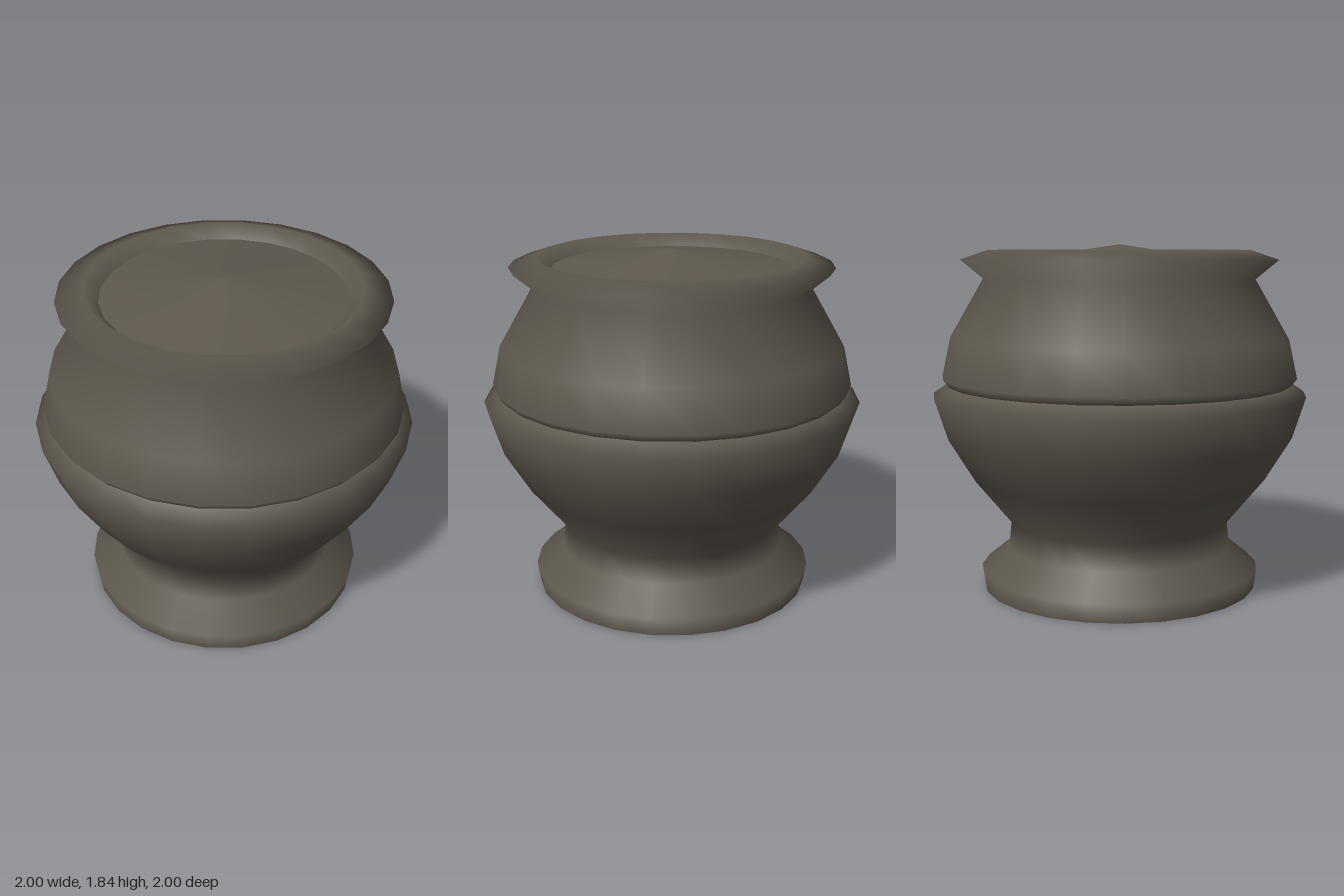
import * as THREE from 'three';

const SIDES = 24;

export function createModel() {
  const group = new THREE.Group();
  const clay = new THREE.MeshStandardMaterial({ color: 0x5e584e });
  clay.name = 'dark clay';

  // Each profile is a smooth run of [radius, height]; edges between runs stay sharp.
  const turn = (name, profile) => {
    const points = profile.map(([r, y]) => new THREE.Vector2(r, y));
    const mesh = new THREE.Mesh(new THREE.LatheGeometry(points, SIDES), clay);
    mesh.name = name;
    group.add(mesh);
  };

  turn('underside', [[0, 0], [0.74, 0]]);

  // Foot, narrow waist and flaring lower bowl
  turn('footAndLowerBowl', [
    [0.74, 0], [0.755, 0.1], [0.605, 0.22], [0.59, 0.355],
    [0.79, 0.6], [0.93, 0.83], [1, 1.05], [0.92, 1.105],
  ]);

  // Shoulder, neck and rolled rim
  turn('shoulderAndRim', [
    [0.92, 1.105], [0.95, 1.145], [0.905, 1.35], [0.725, 1.66],
    [0.845, 1.76], [0.7, 1.81], [0.63, 1.745],
  ]);

  // Shallow conical top sunk inside the rim
  turn('lid', [[0.63, 1.745], [0, 1.84]]);

  return group;
}
